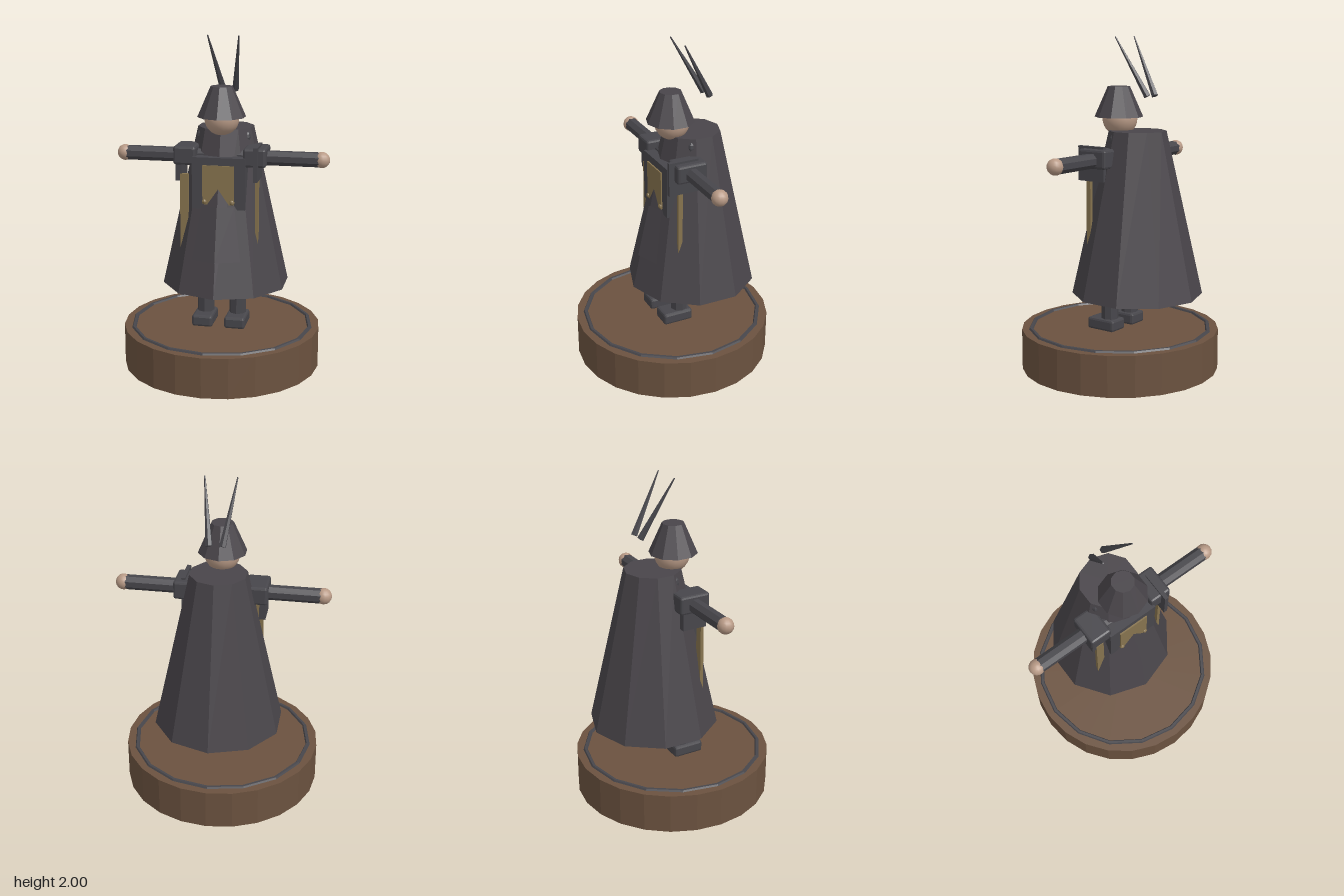
import * as THREE from 'three';
import { RoundedBoxGeometry } from 'three/addons/geometries/RoundedBoxGeometry.js';

export function createModel() {
  const model = new THREE.Group();
  model.name = 'cloakedFigure';

  const mat = (name, color, opts = {}) => {
    const m = new THREE.MeshStandardMaterial({ color, flatShading: true, ...opts });
    m.name = name;
    return m;
  };
  const wood = mat('wood', 0x6b523f);
  const cloth = mat('cloth', 0x49454a, { side: THREE.DoubleSide });
  const armor = mat('armor', 0x47464b);
  const gold = mat('gold', 0x86734e);
  const skin = mat('skin', 0xb89a86, { flatShading: false });

  const add = (name, geometry, material, x = 0, y = 0, z = 0) => {
    const mesh = new THREE.Mesh(geometry, material);
    mesh.name = name;
    mesh.position.set(x, y, z);
    model.add(mesh);
    return mesh;
  };
  const box = (name, m, w, h, d, x, y, z) => add(name, new THREE.BoxGeometry(w, h, d), m, x, y, z);
  const chamfered = (name, m, w, h, d, x, y, z) =>
    add(name, new RoundedBoxGeometry(w, h, d, 1, 0.014), m, x, y, z);

  // Round base with an inlaid ring
  add('base', new THREE.CylinderGeometry(0.6, 0.6, 0.245, 24), wood, 0, 0.1225, 0);
  const ring = add('baseRing', new THREE.TorusGeometry(0.545, 0.015, 6, 16), armor, 0, 0.242, 0);
  ring.rotation.x = Math.PI / 2;

  // Cloak, offset to the back
  add('cloak', new THREE.CylinderGeometry(0.17, 0.391, 0.98, 10), cloth, 0, 0.965, -0.13);

  // Torso and chest panel
  box('torso', armor, 0.32, 0.31, 0.2, 0, 1.145, 0.008);
  box('chestPanel', gold, 0.19, 0.235, 0.009, 0, 1.137, 0.1125);

  // Curved skirt flap in front of the cloak
  add('skirtFlap', new THREE.CylinderGeometry(0.152, 0.226, 0.32, 2, 1, true, -0.7, 1.4),
    cloth, 0, 0.85, 0);

  // Head and conical hat
  add('head', new THREE.SphereGeometry(0.104, 20, 14), skin, 0, 1.52, 0);
  add('hat', new THREE.CylinderGeometry(0.066, 0.145, 0.18, 10), cloth, 0, 1.62, 0.008);

  // Mirrored parts
  for (const s of [1, -1]) {
    const side = s > 0 ? 'left' : 'right';
    add(side + 'Leg', new THREE.CylinderGeometry(0.052, 0.052, 0.4, 8), armor, s * 0.1, 0.5, 0);
    chamfered(side + 'Boot', armor, 0.127, 0.072, 0.19, s * 0.1, 0.283, 0.03);

    const arm = add(side + 'Arm', new THREE.CylinderGeometry(0.045, 0.045, 0.5, 8), armor,
      s * 0.34, 1.292, 0);
    arm.rotation.set(Math.PI / 8, 0, Math.PI / 2, 'XYZ');
    add(side + 'Hand', new THREE.SphereGeometry(0.048, 14, 10), skin, s * 0.597, 1.292, 0);
    chamfered(side + 'Shoulder', armor, 0.136, 0.112, 0.19, s * 0.21, 1.302, 0);

    const clasp = add(side + 'Clasp', new THREE.SphereGeometry(0.028, 8, 6), armor,
      s * 0.142, 1.4, -0.06);
    clasp.scale.set(0.8, 1.4, 0.9);
    add(side + 'Stud', new THREE.SphereGeometry(0.016, 8, 6), gold, s * 0.083, 1.035, 0.113);

    // Thin horn leaning forward from behind the hat
    const root = new THREE.Vector3(s * 0.038, 1.66, -0.225);
    const tip = new THREE.Vector3(s * 0.093, 2, -0.036);
    const dir = tip.clone().sub(root);
    const mid = root.clone().add(tip).multiplyScalar(0.5);
    const horn = add(side + 'Horn', new THREE.CylinderGeometry(0.004, 0.021, dir.length(), 6),
      armor, mid.x, mid.y, mid.z);
    horn.quaternion.setFromUnitVectors(new THREE.Vector3(0, 1, 0), dir.normalize());
  }

  // Shoulder plates, differing on each side
  box('leftShoulderPlate', armor, 0.024, 0.205, 0.185, 0.223, 1.268, 0.037);
  box('rightShoulderPlate', armor, 0.037, 0.16, 0.15, -0.249, 1.227, 0);

  // Hanging gold strips that sink into the cloak
  box('leftStrip', gold, 0.02, 0.48, 0.028, 0.224, 0.96, 0.056);
  box('rightStrip', gold, 0.05, 0.49, 0.02, -0.215, 0.945, 0.068);

  return model;
}
